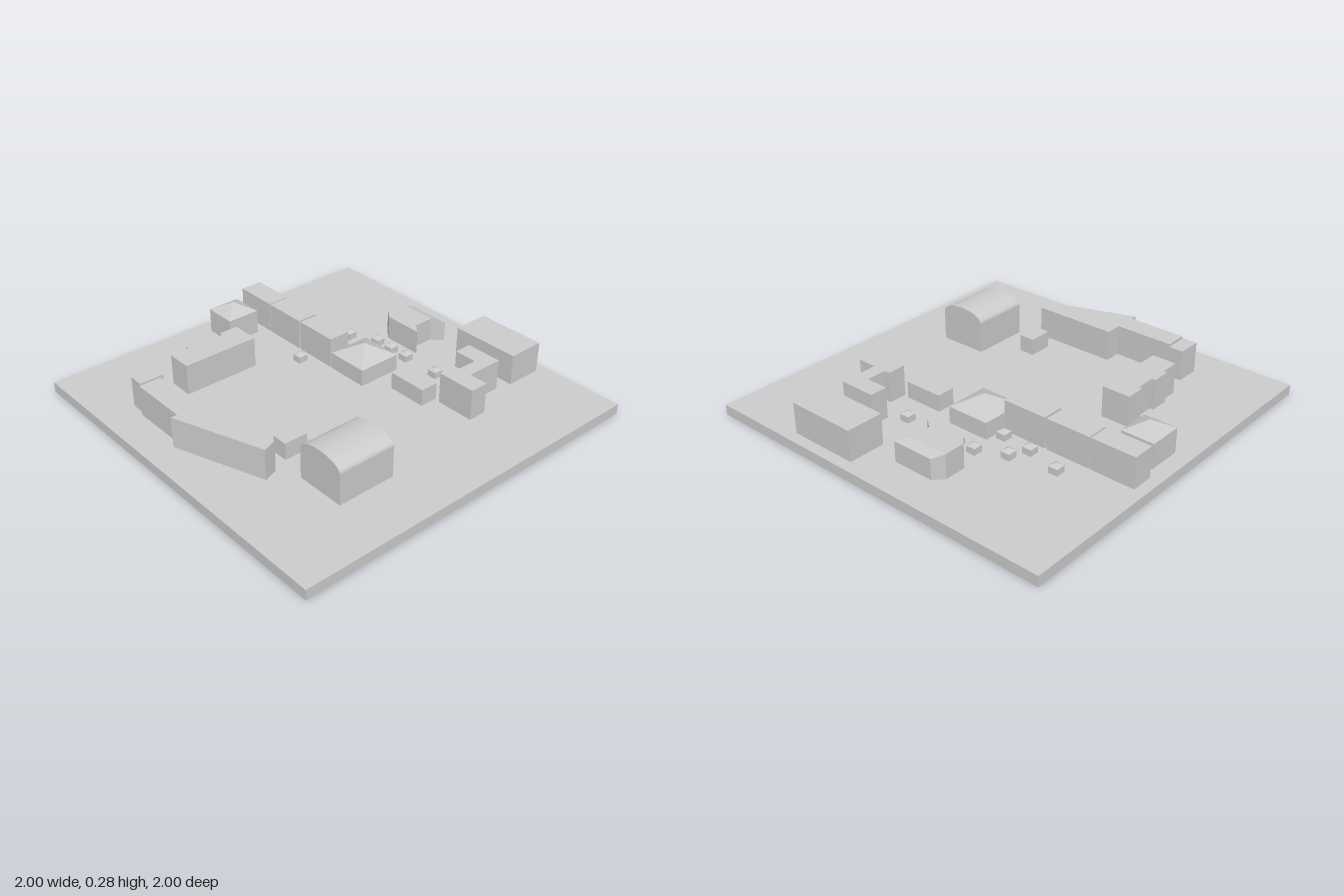
import * as THREE from 'three';

const GROUND = 0.055, TALL = 0.22, LOW = 0.145;

export function createModel() {
  const model = new THREE.Group();
  const grey = new THREE.MeshStandardMaterial({ color: 0xcccccc, flatShading: true });

  const add = (name, geometry, parent = model) => {
    const mesh = new THREE.Mesh(geometry, grey);
    mesh.name = name;
    parent.add(mesh);
    return mesh;
  };

  // Flat-roofed block between two x and two z values
  const block = (name, x0, x1, z0, z1, top, bottom = GROUND, parent = model) =>
    add(name, new THREE.BoxGeometry(x1 - x0, top - bottom, z1 - z0), parent)
      .position.set((x0 + x1) / 2, (top + bottom) / 2, (z0 + z1) / 2);

  // Upright prism from a plan outline of [x, z] corners
  const prism = (plan, top) => {
    const shape = new THREE.Shape(plan.map(([x, z]) => new THREE.Vector2(x, -z)));
    return new THREE.ExtrudeGeometry(shape, { depth: top - GROUND, bevelEnabled: false })
      .rotateX(-Math.PI / 2).translate(0, GROUND, 0);
  };

  // Block with a four-sided pyramid roof
  const pyramidHouse = (name, x0, x1, z0, z1, eave, peak) => {
    const house = new THREE.Group();
    house.name = name;
    model.add(house);
    block(name + 'Walls', x0, x1, z0, z1, eave, GROUND, house);
    const roof = new THREE.ConeGeometry(Math.SQRT1_2, 1, 4, 1, true).rotateY(Math.PI / 4)
      .scale(x1 - x0, peak - eave, z1 - z0);
    add(name + 'Roof', roof, house)
      .position.set((x0 + x1) / 2, (eave + peak) / 2, (z0 + z1) / 2);
  };

  // Ground slab
  block('groundSlab', -1, 1, -1, 1, GROUND, 0);

  // Plain blocks
  [-0.94, -0.69, -0.435].forEach((z, i) => block('rowBuilding' + (i + 1), 0.16, 0.28, z, z + 0.242, TALL));
  block('largeBlock', 0.74, 0.94, 0.15, 0.53, TALL);
  block('leftCornerBlock', -0.805, -0.675, -0.55, -0.47, TALL);
  block('lowBlock', 0.26, 0.36, 0.16, 0.375, LOW);
  block('shed', -0.525, -0.395, 0.2, 0.285, LOW);

  // Buildings with irregular plans
  add('wedgeBuilding', prism([
    [-0.82, -0.455], [-0.7, -0.455], [-0.7, -0.135], [-0.61, -0.135],
    [-0.61, 0.32], [-0.685, 0.345], [-0.855, -0.135], [-0.82, -0.135],
  ], TALL));
  add('longBuilding', prism([
    [-0.545, -0.46], [-0.545, -0.595], [-0.44, -0.595], [-0.44, -0.615], [-0.34, -0.615],
    [-0.34, -0.595], [-0.23, -0.595], [-0.23, -0.615], [-0.125, -0.615], [-0.125, -0.46],
  ], TALL));
  add('steppedBuilding', prism([
    [0.35, 0.405], [0.45, 0.405], [0.45, 0.435], [0.56, 0.435], [0.56, 0.31],
    [0.655, 0.31], [0.655, 0.51], [0.45, 0.51], [0.45, 0.615], [0.35, 0.615],
  ], TALL));

  // Chamfered building: level main part and a wing whose roof drops outward
  add('chamferedBuilding', prism([
    [0.595, 0], [0.595, -0.215], [0.64, -0.27], [0.755, -0.27], [0.755, -0.055], [0.64, -0.055],
  ], 0.185));
  const wing = prism([[0.755, -0.27], [0.805, -0.225], [0.805, 0], [0.755, -0.055]], 0.185);
  const p = wing.attributes.position;
  for (let i = 0; i < p.count; i++) {
    if (p.getX(i) > 0.78 && p.getY(i) > 0.1) p.setY(i, 0.165);
  }
  wing.computeVertexNormals();
  add('chamferedBuildingWing', wing);

  // Hall with a barrel roof
  const half = 0.132;
  const section = new THREE.Shape();
  section.moveTo(-half, GROUND);
  section.lineTo(half, GROUND);
  section.lineTo(half, TALL);
  section.absellipse(0, TALL, half, 0.055, 0, Math.PI, false, 0);
  section.lineTo(-half, GROUND);
  add('barrelHall', new THREE.ExtrudeGeometry(section, { depth: 0.315, bevelEnabled: false, curveSegments: 24 })
    .rotateY(Math.PI / 2)).position.set(-0.555, 0, 0.563);

  // Pyramid-roofed houses
  pyramidHouse('backHouse', -0.085, 0.098, -0.91, -0.73, 0.188, 0.238);
  pyramidHouse('centralHouse', 0.16, 0.4, -0.185, 0.05, LOW, 0.21);

  // Small huts
  const huts = [[0.397, -0.6], [0.35, -0.41], [0.443, -0.36], [0.087, -0.35], [0.332, -0.235],
    [0.511, -0.21], [0.511, -0.105], [0.511, 0.005], [0.511, 0.22]];
  huts.forEach(([x, z], i) =>
    pyramidHouse('hut' + (i + 1), x - 0.026, x + 0.026, z - 0.026, z + 0.026, 0.09, 0.107));

  return model;
}
